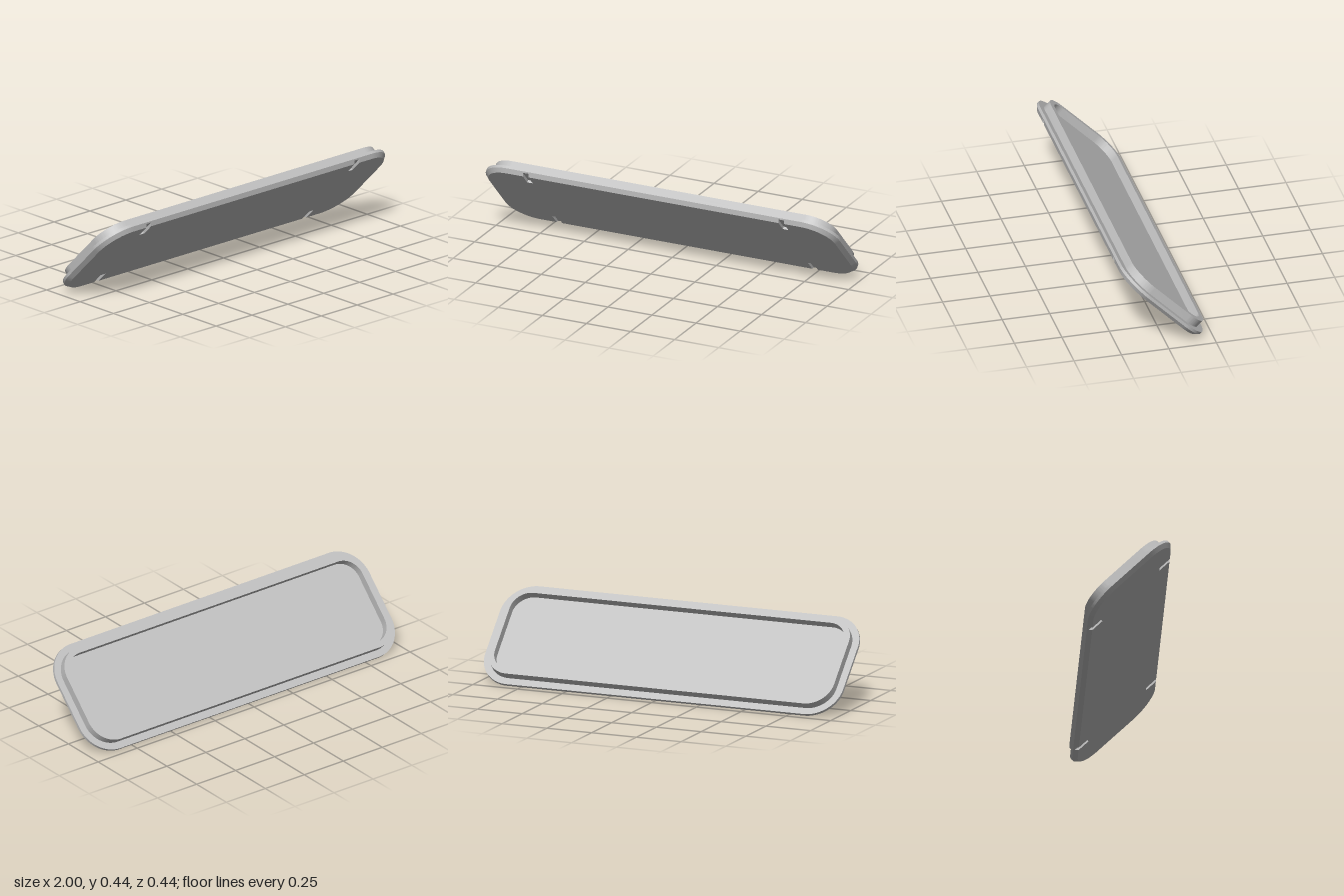
import * as THREE from 'three';
import { toCreasedNormals } from 'three/addons/utils/BufferGeometryUtils.js';

const HX = 1, HY = 0.299, R = 0.17;      // half sizes and corner radius of the plate
const CX = HX - R, CY = HY - R;          // centres of the corner arcs
const NOTCH_X = 0.725, NOTCH_W = 0.016, NOTCH_Y = 0.206;

// Rounded rectangle, inset from the plate edge, optionally with four edge notches
function outline(Type, inset, notched = false) {
  const s = new Type(), r = R - inset, y = HY - inset;
  const notches = (sign) => {
    if (!notched) return;
    for (const x of [-NOTCH_X, NOTCH_X]) {
      const c = x * sign, w = NOTCH_W * sign, e = sign < 0 ? y : -y, i = -sign * NOTCH_Y;
      s.lineTo(c - w, e);
      s.lineTo(c - w, i);
      s.lineTo(c + w, i);
      s.lineTo(c + w, e);
    }
  };
  s.moveTo(-CX, -y);
  notches(1);
  s.lineTo(CX, -y);
  s.absarc(CX, -CY, r, -Math.PI / 2, 0, false);
  s.absarc(CX, CY, r, 0, Math.PI / 2, false);
  notches(-1);
  s.lineTo(-CX, y);
  s.absarc(-CX, CY, r, Math.PI / 2, Math.PI, false);
  s.absarc(-CX, -CY, r, Math.PI, Math.PI * 1.5, false);
  return s;
}

// Slab from z0 to z1 whose front outline is drawn in by `chamfer`
function slab(shape, inset, z0, z1, chamfer = 0) {
  const geo = new THREE.ExtrudeGeometry(shape, { depth: z1 - z0, bevelEnabled: false, curveSegments: 16 });
  const p = geo.attributes.position, r = R - inset;
  for (let i = 0; i < p.count && chamfer; i++) {
    if (p.getZ(i) < (z1 - z0) / 2) continue;
    const x = p.getX(i), y = p.getY(i);
    const cx = THREE.MathUtils.clamp(x, -CX, CX), cy = THREE.MathUtils.clamp(y, -CY, CY);
    if (Math.hypot(x - cx, y - cy) < r - 0.001) continue; // inner notch corners stay
    const k = (r - chamfer) / r;
    p.setXY(i, cx + (x - cx) * k, cy + (y - cy) * k);
  }
  geo.translate(0, 0, z0);
  return toCreasedNormals(geo, 0.5);
}

export function createModel() {
  const grey = new THREE.MeshStandardMaterial({ color: 0xc0c0c0 });
  grey.name = 'light grey';
  const group = new THREE.Group();
  group.name = 'lid';
  const add = (name, geo) => {
    const mesh = new THREE.Mesh(geo, grey);
    mesh.name = name;
    group.add(mesh);
  };

  // Plate: notched chamfered face, lower chamfer, straight edge
  add('notchedFace', slab(outline(THREE.Shape, 0.006, true), 0.006, -0.014, 0, 0.014));
  add('chamfer', slab(outline(THREE.Shape, 0), 0, -0.02, -0.014, 0.006));
  add('plateEdge', slab(outline(THREE.Shape, 0), 0, -0.035, -0.02));

  // Raised rim on the back
  const rim = outline(THREE.Shape, 0.037);
  rim.holes.push(outline(THREE.Path, 0.068));
  add('rim', slab(rim, 0.037, -0.078, -0.035));

  // The lid leans at 45 degrees on its lower edge
  group.rotation.x = Math.PI / 4;
  group.position.set(0, 0.198, 0.0226);
  const model = new THREE.Group();
  model.name = 'tiltedLid';
  model.add(group);
  return model;
}
